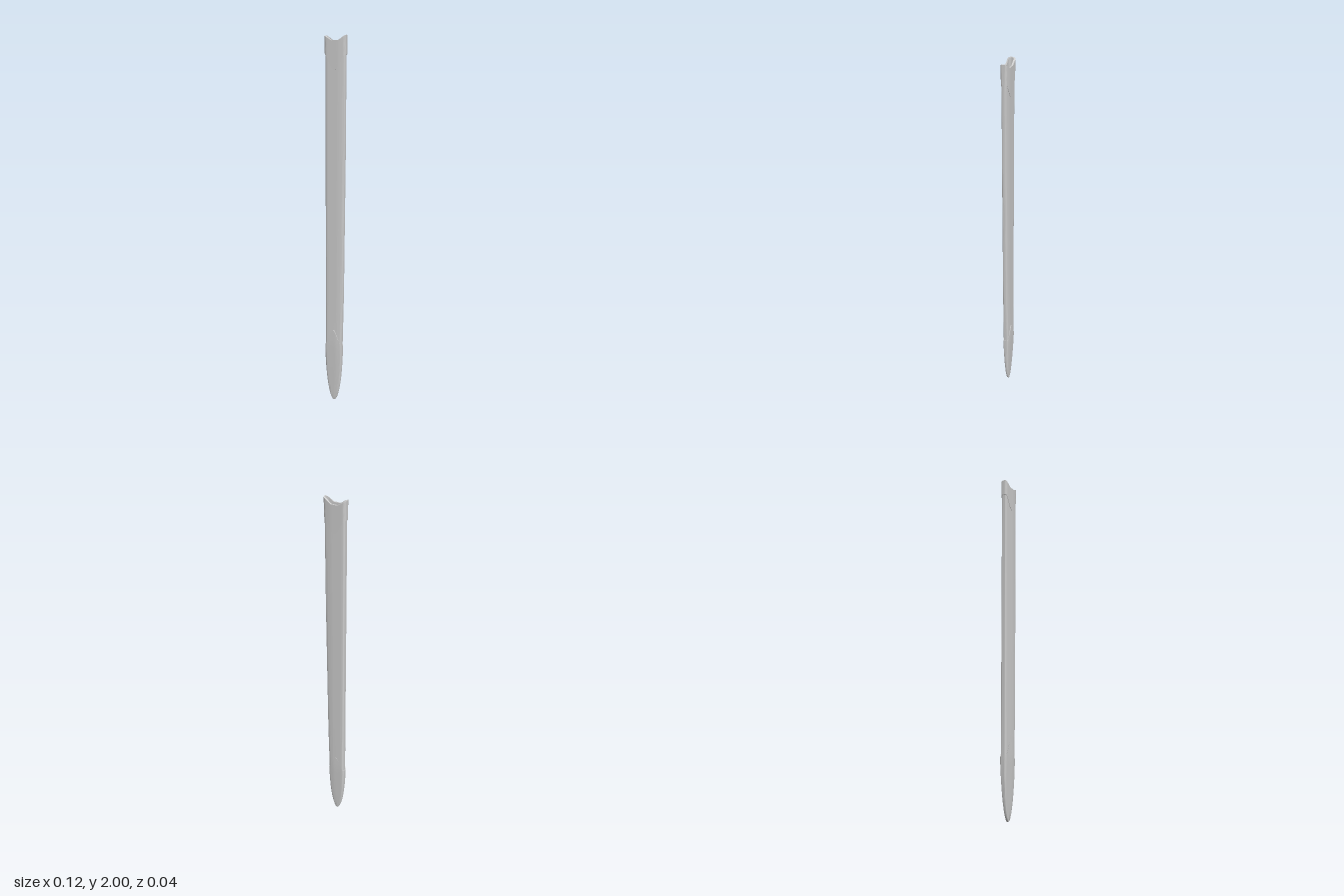
import * as THREE from 'three';
import { toCreasedNormals } from 'three/addons/utils/BufferGeometryUtils.js';

// Unit cross-section: flat faces along x with rounded ends, as [x, z] pairs
function unitSection() {
  const half = [];
  const flat = 0.74, flatSteps = 16, arcSteps = 7;
  for (let i = 0; i < arcSteps; i++) {
    const a = (i / arcSteps) * Math.PI / 2;
    half.push([flat + (1 - flat) * Math.pow(Math.cos(a), 0.75), Math.pow(Math.sin(a), 0.75)]);
  }
  for (let i = 0; i <= flatSteps; i++) half.push([flat * (1 - 2 * i / flatSteps), 1]);
  for (let i = arcSteps - 1; i > 0; i--) half.push([-half[i][0], half[i][1]]);
  return [...half, ...half.map(([x, z]) => [-x, -z])];
}
const SECTION = unitSection();

// The +x end is slimmer than the -x end
const slim = (n) => 1 - 0.22 * THREE.MathUtils.smoothstep(n, 0.2, 1);

// Ring of points; yAt(n) gives the height, size(y) gives {left, right, thick}
function ring(yAt, size, inset = 0) {
  return SECTION.map(([n, m]) => {
    const y = yAt(n);
    const s = size(y);
    const mid = (s.left + s.right) / 2;
    const halfWidth = Math.max((s.right - s.left) / 2 - inset, 0);
    return [mid + n * halfWidth, y, m * (s.thick - inset) * slim(n)];
  });
}

// Skin a list of rings; upward order faces outwards, downward order inwards
function loft(rings) {
  const count = SECTION.length, index = [];
  for (let r = 0; r < rings.length - 1; r++) {
    for (let i = 0; i < count; i++) {
      const a = r * count + i, b = r * count + (i + 1) % count;
      index.push(a, a + count, b, b, a + count, b + count);
    }
  }
  const g = new THREE.BufferGeometry();
  g.setAttribute('position', new THREE.Float32BufferAttribute(rings.flat(2), 3));
  g.setIndex(index);
  return toCreasedNormals(g, Math.PI / 4);
}

// Body outline: straight back edge, tapering front edge
const EDGE = [[0, 0.028], [0.3, 0.037], [0.6, 0.045], [1, 0.05], [1.4, 0.055], [1.9, 0.058], [2, 0.058]];
function bodySize(y) {
  let k = 0;
  while (k < EDGE.length - 2 && y > EDGE[k + 1][0]) k++;
  const [y0, x0] = EDGE[k], [y1, x1] = EDGE[k + 1];
  return { left: -0.059, right: x0 + (x1 - x0) * (y - y0) / (y1 - y0), thick: 0.0165 };
}

// Throat collar outline
const throatSize = (y) => ({
  left: -0.0625, right: 0.0615,
  thick: THREE.MathUtils.mapLinear(y, 1.82, 2, 0.0185, 0.0205),
});

// Tip outline: half ellipse, thinning downwards
function tipSize(y) {
  const d = Math.max(0, (0.33 - y) / 0.33);
  const w = 0.051 * Math.sqrt(Math.max(0, 1 - d * d));
  return { left: -0.0115 - w, right: -0.0115 + w, thick: 0.005 + 0.0145 * Math.pow(1 - d, 0.8) };
}

// Decorative edges
const wave = (n) => 0.5 + 0.5 * Math.cos(Math.PI * n);
const throatBottom = (n) => 1.9 - 0.08 * wave(n);
const throatTop = (n) => 2 - 0.027 * Math.min(1, 1.45 * (1 - Math.abs(n)));
const tipTop = (n) => 0.32 + 0.085 * wave(n);

export function createModel() {
  const group = new THREE.Group();
  const material = new THREE.MeshStandardMaterial({ color: 0xcccccc, side: THREE.DoubleSide });
  const add = (name, rings) => {
    const mesh = new THREE.Mesh(loft(rings), material);
    mesh.name = name;
    group.add(mesh);
  };

  // Long flat sheath
  const body = [];
  for (let i = 0; i <= 24; i++) {
    const y = 0.29 + (1.95 - 0.29) * i / 24;
    body.push(ring(() => y, bodySize));
  }
  add('sheathBody', body);

  // Collar: lower lip, outer wall, rim
  const throat = [ring(throatBottom, bodySize)];
  for (let i = 0; i <= 6; i++) {
    throat.push(ring((n) => THREE.MathUtils.lerp(throatBottom(n), throatTop(n), i / 6), throatSize));
  }
  throat.push(ring(throatTop, throatSize, 0.008));
  add('throatCollar', throat);

  // Hollow inside, running down from the rim
  const lining = [ring(throatTop, throatSize, 0.008)];
  for (let i = 0; i <= 16; i++) {
    const y = 1.93 - (1.93 - 0.3) * i / 16;
    lining.push(ring(() => y, bodySize, 0.005));
  }
  for (const y of [0.2, 0.12, 0.06, 0.03]) lining.push(ring(() => y, tipSize, 0.004));
  add('innerLining', lining);

  // Pointed end cap with a raised ogee edge
  const tip = [];
  for (let i = 0; i <= 20; i++) tip.push(ring((n) => tipTop(n) * (i / 20) ** 2, tipSize));
  tip.push(ring(tipTop, bodySize));
  add('tipCap', tip);

  return group;
}
